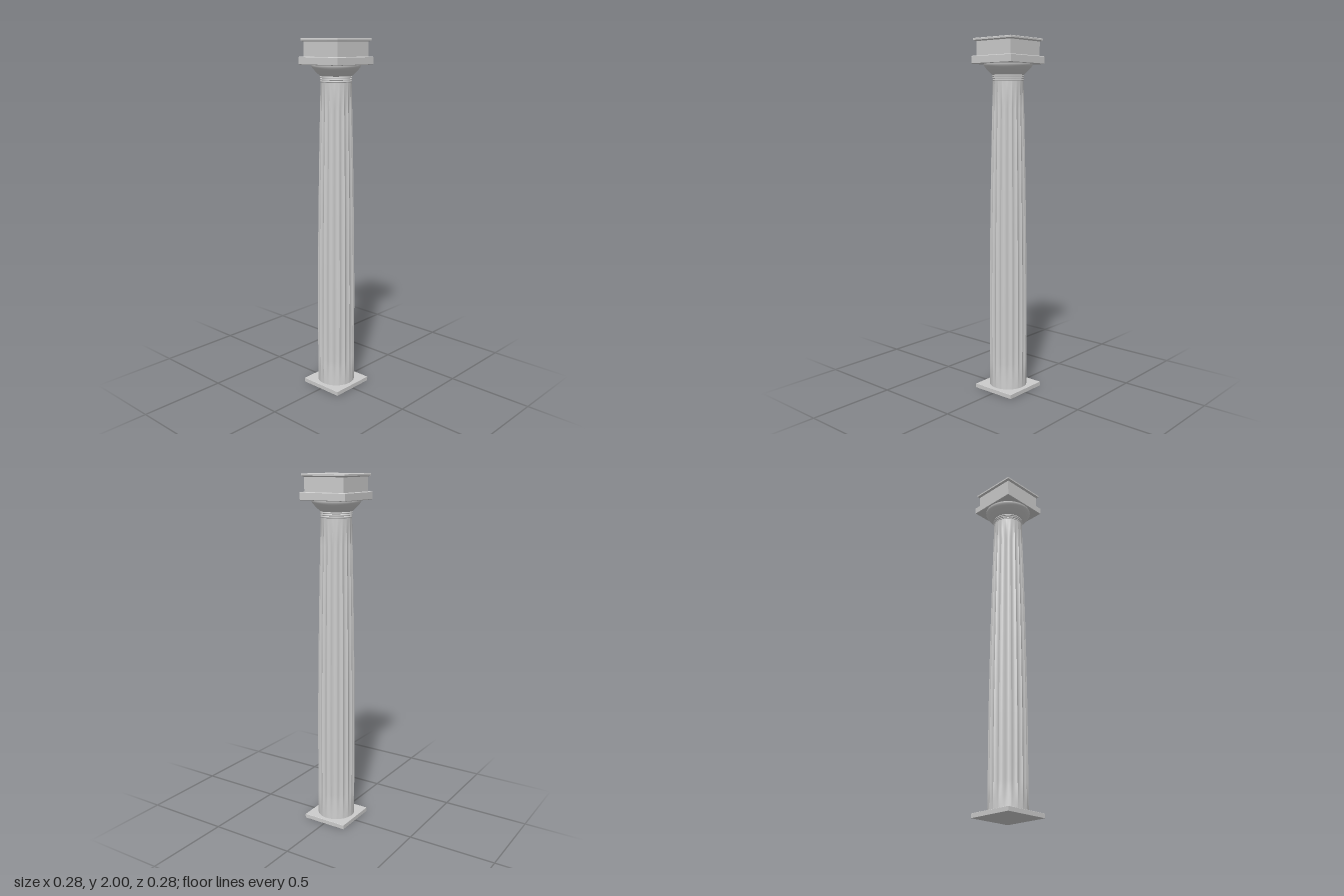
import * as THREE from 'three';

const V = (p) => p.map(([r, y]) => new THREE.Vector2(r, y));

// Square moulding: a four-sided lathe, profile given as [half width, height]
function squareMoulding(name, profile) {
  const geo = new THREE.LatheGeometry(V(profile.map(([h, y]) => [h * Math.SQRT2, y])), 4, Math.PI / 4);
  const mesh = new THREE.Mesh(geo, new THREE.MeshStandardMaterial({ color: 0xcccccc, flatShading: true }));
  mesh.name = name;
  return mesh;
}

// Slab with slightly chamfered edges
function slab(name, half, y0, y1, c) {
  return squareMoulding(name, [[0, y0], [half - c, y0], [half, y0 + c], [half, y1 - c], [half - c, y1], [0, y1]]);
}

// Shaft radius with entasis: nearly straight below, tapering above
function shaftRadius(y) {
  const t = Math.max(0, (y - 0.45) / 1.32);
  return 0.107 - 0.022 * Math.pow(t, 1.6);
}

// Fluted shaft: one strip per flute so the arrises between them stay sharp
function shaftGeometry(flutes = 20, steps = 8) {
  const levels = [0.025, 0.06, 0.1, 0.14, 0.175];
  for (let i = 1; i <= 16; i++) levels.push(0.175 + (1.445 * i) / 16);
  levels.push(1.66, 1.7, 1.74, 1.77);
  const pos = [], index = [];
  for (let f = 0; f < flutes; f++) {
    const base = pos.length / 3;
    for (const y of levels) {
      const R = shaftRadius(y);
      const fade = THREE.MathUtils.clamp(Math.min((y - 0.025) / 0.15, (1.77 - y) / 0.15), 0, 1);
      for (let s = 0; s <= steps; s++) {
        const t = s / steps, a = ((f + t) / flutes) * Math.PI * 2;
        const r = R * (1 - 0.07 * fade * 4 * t * (1 - t));
        pos.push(r * Math.sin(a), y, r * Math.cos(a));
      }
    }
    for (let l = 0; l < levels.length - 1; l++) {
      for (let s = 0; s < steps; s++) {
        const a = base + l * (steps + 1) + s, b = a + steps + 1;
        index.push(a, a + 1, b + 1, a, b + 1, b);
      }
    }
  }
  const geo = new THREE.BufferGeometry();
  geo.setAttribute('position', new THREE.Float32BufferAttribute(pos, 3));
  geo.setIndex(index);
  geo.computeVertexNormals();
  return geo;
}

export function createModel() {
  const group = new THREE.Group();
  group.name = 'column';
  const stone = new THREE.MeshStandardMaterial({ color: 0xcccccc });
  const add = (name, geo) => {
    const mesh = new THREE.Mesh(geo, stone);
    mesh.name = name;
    group.add(mesh);
  };

  // Base and shaft
  group.add(slab('plinth', 0.133, 0, 0.025, 0.001));
  add('flutedShaft', shaftGeometry());

  // Neck rings
  for (let i = 0; i < 3; i++) {
    const y = 1.77 + i * 0.011, r = 0.085 + i * 0.001;
    add('neckRing' + (i + 1), new THREE.LatheGeometry(V([
      [r - 0.004, y], [r, y + 0.001], [r + 0.002, y + 0.005], [r, y + 0.009], [r - 0.004, y + 0.011],
    ]), 48));
  }

  // Flaring cushion under the abacus
  const flare = new THREE.SplineCurve(V([
    [0.084, 1.802], [0.092, 1.808], [0.108, 1.823], [0.124, 1.84], [0.133, 1.853], [0.135, 1.863],
  ]));
  add('echinus', new THREE.LatheGeometry(flare.getPoints(16), 48));

  // Abacus, upper block and its cap
  group.add(slab('abacus', 0.142, 1.862, 1.905, 0.003));
  group.add(slab('upperBlock', 0.123, 1.904, 1.986, 0.0005));
  group.add(squareMoulding('capSlab', [
    [0, 1.983], [0.126, 1.983], [0.131, 1.987], [0.135, 1.989], [0.135, 1.998], [0.133, 2], [0, 2],
  ]));
  return group;
}
